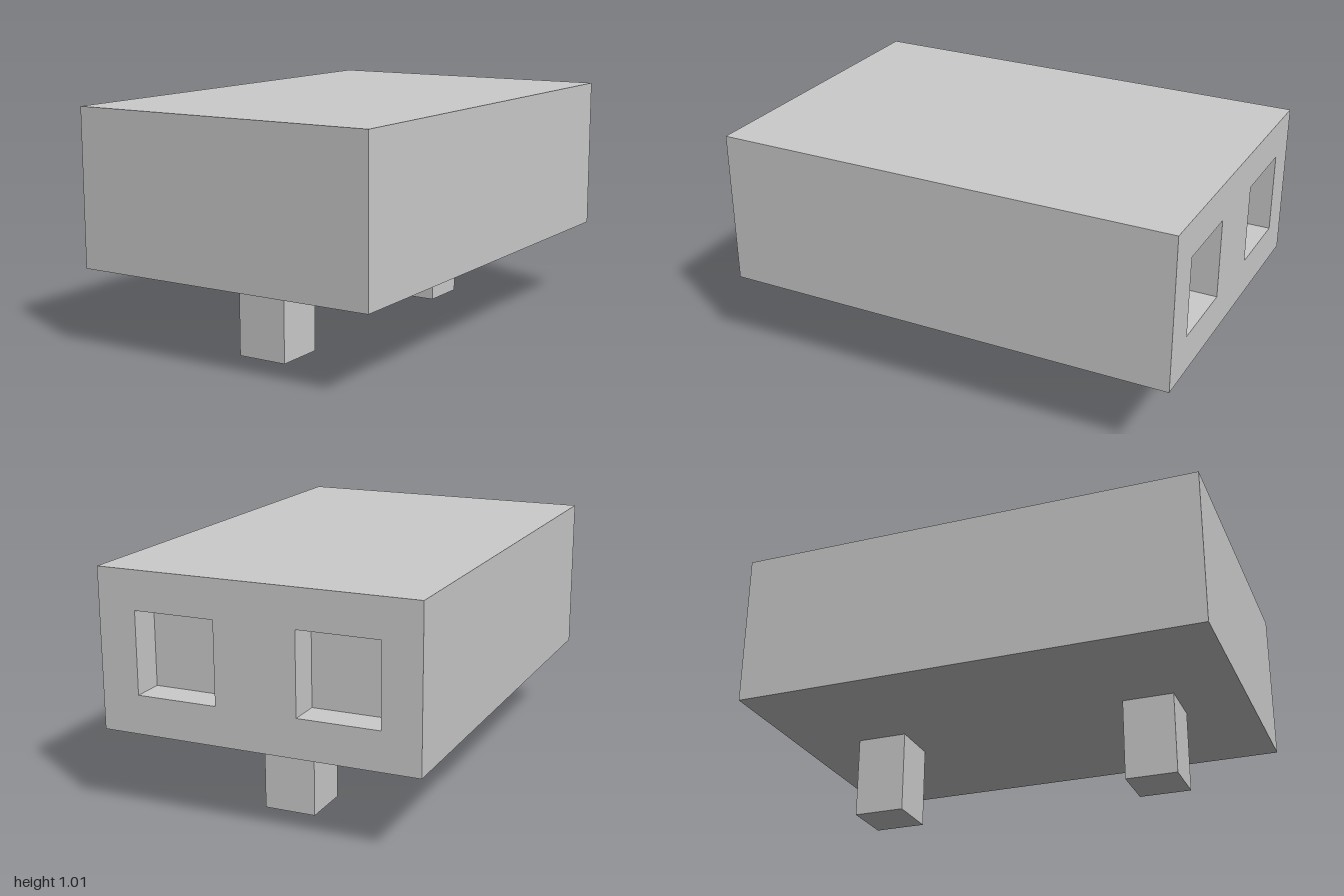
import * as THREE from 'three';

const WIDTH = 1.35, HEIGHT = 0.665, LENGTH = 2, BASE = 0.35;
const LEG = 0.22, LEG_Z = 0.61;
const SOCKET = 0.342, SOCKET_X = 0.343, SOCKET_DEPTH = 0.137;

// Box without its rear (-z) face; inward turns it inside out
function openBox(w, h, d, inward = false) {
  const geometry = new THREE.BoxGeometry(w, h, d);
  const index = Array.from(geometry.index.array).slice(0, 30);
  geometry.clearGroups();
  geometry.setIndex(inward ? index.reverse() : index);
  geometry.computeVertexNormals();
  return geometry;
}

// Square outline centred on (x, 0)
function rectangle(PathType, x, w, h) {
  return new PathType([[-1, -1], [1, -1], [1, 1], [-1, 1]]
    .map(([sx, sy]) => new THREE.Vector2(x + sx * w / 2, sy * h / 2)));
}

export function createModel() {
  const group = new THREE.Group();
  const material = new THREE.MeshStandardMaterial({ color: 0xcccccc, flatShading: true });
  const midY = BASE + HEIGHT / 2;

  const add = (name, geometry, x, y, z) => {
    const mesh = new THREE.Mesh(geometry, material);
    mesh.name = name;
    mesh.position.set(x, y, z);
    group.add(mesh);
    return mesh;
  };

  // Main block, closed at the rear by a panel with two square openings
  add('body', openBox(WIDTH, HEIGHT, LENGTH), 0, midY, 0);
  const panel = rectangle(THREE.Shape, 0, WIDTH, HEIGHT);
  for (const side of [-1, 1]) {
    panel.holes.push(rectangle(THREE.Path, side * SOCKET_X, SOCKET, SOCKET));
  }
  add('backPanel', new THREE.ShapeGeometry(panel), 0, midY, -LENGTH / 2).rotation.y = Math.PI;

  // Recessed sockets behind the openings
  for (const [name, side] of [['leftSocket', 1], ['rightSocket', -1]]) {
    add(name, openBox(SOCKET, SOCKET, SOCKET_DEPTH, true),
      side * SOCKET_X, midY, -LENGTH / 2 + SOCKET_DEPTH / 2);
  }

  // Two square legs on the centre line
  for (const [name, side] of [['frontLeg', 1], ['backLeg', -1]]) {
    add(name, new THREE.BoxGeometry(LEG, BASE, LEG), 0, BASE / 2, side * LEG_Z);
  }
  return group;
}
